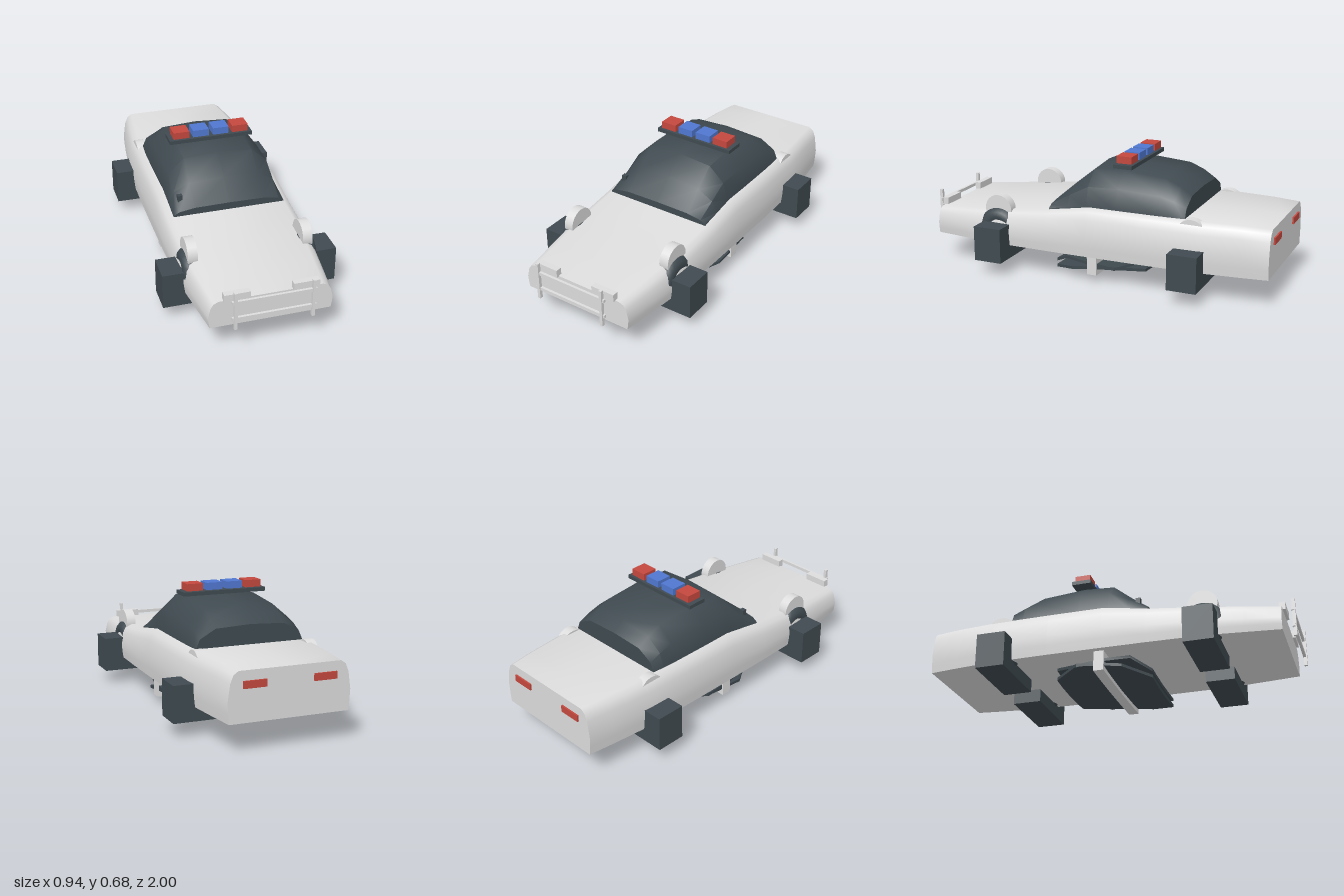
import * as THREE from 'three';
import { toCreasedNormals } from 'three/addons/utils/BufferGeometryUtils.js';

const paint = (name, color) => Object.assign(new THREE.MeshStandardMaterial({ color }), { name });

// Skin mirrored half sections (bottom centre round +x to top centre), ordered by rising z, with end caps.
function loft(sections, crease = 0.75) {
  const pos = [], idx = [];
  const n = sections[0].half.length * 2 - 2;
  for (const { z, half } of sections) {
    const ring = [...half, ...half.slice(1, -1).reverse().map(([x, y]) => [-x, y])];
    ring.forEach(([x, y]) => pos.push(x, y, z));
  }
  const last = (sections.length - 1) * n;
  for (let i = 0; i < sections.length - 1; i++) {
    for (let j = 0; j < n; j++) {
      const a = i * n + j, b = i * n + (j + 1) % n;
      idx.push(a, b, b + n, a, b + n, a + n);
    }
  }
  for (let j = 1; j < n - 1; j++) {
    idx.push(0, j + 1, j, last, last + j, last + j + 1);
  }
  const g = new THREE.BufferGeometry();
  g.setAttribute('position', new THREE.Float32BufferAttribute(pos, 3));
  g.setIndex(idx);
  return toCreasedNormals(g, crease);
}

export function createModel() {
  const car = new THREE.Group();
  car.name = 'patrolCar';
  const white = paint('bodyWhite', 0xdcdcdc);
  const dark = paint('darkSlate', 0x3f4a50);
  const red = paint('lampRed', 0xc4483e);
  const blue = paint('lampBlue', 0x5077d0);

  const add = (name, geometry, material, x = 0, y = 0, z = 0) => {
    const m = new THREE.Mesh(geometry, material);
    m.name = name;
    m.position.set(x, y, z);
    car.add(m);
    return m;
  };
  // Box given by its limits on each axis
  const box = (name, material, [x0, x1], [y0, y1], [z0, z1]) =>
    add(name, new THREE.BoxGeometry(x1 - x0, y1 - y0, z1 - z0), material,
      (x0 + x1) / 2, (y0 + y1) / 2, (z0 + z1) / 2);

  // Body shell: [z, half width, top height]
  const bodyShape = [[0, 0], [0.975, 0], [0.99, 0.2], [1, 0.42], [0.96, 0.77], [0.91, 0.93], [0.83, 1], [0, 1]];
  const body = [
    [-0.99, 0.325, 0.405], [-0.85, 0.343, 0.41], [-0.62, 0.368, 0.41], [-0.3, 0.374, 0.41], [0, 0.375, 0.41],
    [0.24, 0.374, 0.37], [0.55, 0.368, 0.335], [0.75, 0.345, 0.316], [0.94, 0.322, 0.298],
  ].map(([z, w, top]) => ({ z, half: bodyShape.map(([u, t]) => [u * w, 0.15 + t * (top - 0.15)]) }));
  add('body', loft(body), white);

  // Dark glasshouse: [z, half width, top height]
  const cabinShape = [[0, -0.05], [1, -0.05], [0.99, 0.17], [0.9, 0.61], [0.62, 0.94], [0, 1]];
  const cabin = [
    [-0.535, 0.308, 0.515], [-0.47, 0.31, 0.56], [-0.39, 0.311, 0.595], [-0.15, 0.312, 0.616],
    [0.02, 0.311, 0.605], [0.13, 0.311, 0.51], [0.24, 0.31, 0.41],
  ].map(([z, w, top]) => ({ z, half: cabinShape.map(([u, t]) => [u * w, 0.37 + t * (top - 0.37)]) }));
  add('cabin', loft(cabin), dark);
  box('spotlight', dark, [-0.272, -0.246], [0.42, 0.463], [0.165, 0.19]);

  // Roof light bar
  box('lightBarBase', dark, [-0.236, 0.236], [0.618, 0.639], [-0.213, -0.105]);
  for (const [x, m] of [[-0.168, red], [-0.057, blue], [0.057, blue], [0.168, red]]) {
    box('beacon', m, [x - 0.045, x + 0.045], [0.642, 0.681], [-0.202, -0.115]);
  }

  for (const s of [-1, 1]) {
    const span = (a, b) => (s > 0 ? [a, b] : [-b, -a]);
    for (const z of [0.54, -0.58]) {
      // Square wheel blocks with the round tyre inside
      box('wheelBlock', dark, span(0.07, 0.468), [0.077, 0.27], [z - 0.08, z + 0.08]);
      const tyre = add('tyre', new THREE.TorusGeometry(0.075, 0.048, 12, 24), dark, s * 0.312, 0.23, z);
      tyre.rotation.y = Math.PI / 2;
      // Raised round lamp discs
      const disc = add('lampDisc', new THREE.CylinderGeometry(0.08, 0.08, 0.052, 24), white, s * 0.307, 0.341, z);
      disc.rotation.z = Math.PI / 2;
    }
    box('headlight', white, span(0.11, 0.245), [0.295, 0.337], [0.92, 0.954]);
    box('tailLight', red, span(0.125, 0.247), [0.318, 0.355], [-0.999, -0.99]);
    box('pushBarUpright', white, span(0.191, 0.207), [0.16, 0.37], [0.982, 1]);
  }
  for (const y of [0.31, 0.217]) {
    box('pushBarRail', white, [-0.216, 0.216], [y - 0.009, y + 0.009], [0.98, 0.994]);
  }

  // Bowed dark panels under the floor: [z, half width, height]
  const panel = (rows) => loft(rows.map(([z, w, y]) => ({
    z,
    half: [[0, y - 0.02], [w * 0.6, y - 0.016], [w, y - 0.008], [w, y + 0.008], [w * 0.6, y + 0.004], [0, y]],
  })), 0.5);
  add('lowerPanel', panel([
    [-0.29, 0.22, 0.068], [-0.15, 0.32, 0.09], [0, 0.325, 0.075], [0.1, 0.32, 0.06], [0.24, 0.22, 0.02],
  ]), dark);
  add('upperPanel', panel([
    [-0.29, 0.22, 0.122], [-0.15, 0.32, 0.085], [0, 0.325, 0.1], [0.14, 0.3, 0.11], [0.24, 0.22, 0.055],
  ]), dark);

  // Pale cross beam holding the panels
  const beam = new THREE.Shape();
  beam.moveTo(-0.333, 0.155);
  beam.lineTo(-0.333, 0.04);
  beam.quadraticCurveTo(0, 0.028, 0.333, 0.04);
  beam.lineTo(0.333, 0.155);
  add('crossBeam', new THREE.ExtrudeGeometry(beam, { depth: 0.055, bevelEnabled: false }), white, 0, 0, -0.05);

  return car;
}
